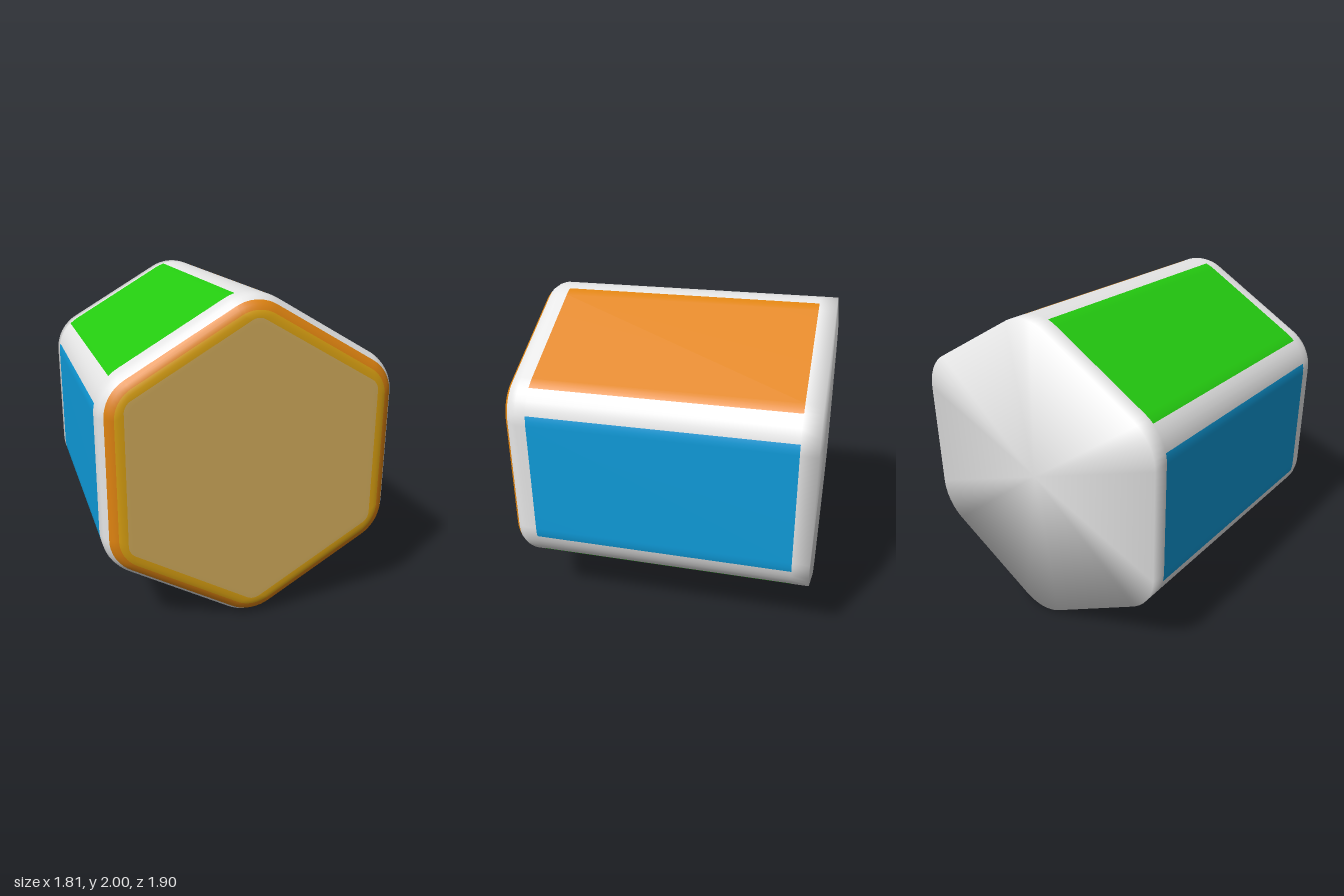
import * as THREE from 'three';

const DEG = Math.PI / 180;

// Normal angles across one side: half a corner, the flat, half a corner.
// The panel runs between the two 12.95 degree columns.
const START = [-30, -21.5, -12.95, -6.5, 0];
const END = [0, 6.5, 12.95, 21.5];
const PER_SIDE = START.length + END.length;
const PANEL_FIRST = 2, PANEL_LAST = 6;

// Rings from back to front: [apothem, corner radius, z, part in front of the ring]
const RINGS = [
  [0.905, 0.29, -0.95, 'body'],
  [0.905, 0.29, -0.845, 'panel'],
  [0.905, 0.29, 0.775, 'body'],
  [0.905, 0.29, 0.84, 'body'],
  [0.895, 0.275, 0.872, 'body'],
  [0.87, 0.24, 0.907, 'rim'],
  [0.848, 0.22, 0.928, 'rim'],
  [0.82, 0.2, 0.942, 'innerRim'],
  [0.795, 0.15, 0.948, 'innerRim'],
  [0.767, 0.08, 0.95, 'frontFace'],
  [0.735, 0.07, 0.95, 'frontFace'],
];

// Panels by side, counter-clockwise from +x
const PANELS = ['bluePanels', 'orangePanels', 'greenPanels', 'bluePanels', 'orangePanels', 'greenPanels'];

// Rounded hexagon outline: each point also carries its outward angle
function outline(apothem, radius) {
  const points = [];
  const reach = (apothem - radius) / Math.cos(30 * DEG);
  for (let side = 0; side < 6; side++) {
    const add = (phi, corner) => {
      const c = (side * 60 + corner) * DEG, n = (side * 60 + phi) * DEG;
      points.push([
        reach * Math.cos(c) + radius * Math.cos(n),
        reach * Math.sin(c) + radius * Math.sin(n),
        n,
      ]);
    };
    START.forEach((phi) => add(phi, -30));
    END.forEach((phi) => add(phi, 30));
  }
  return points;
}

export function createModel() {
  const material = (name, color) => {
    const m = new THREE.MeshStandardMaterial({ color });
    m.name = name;
    return m;
  };
  const white = material('white', 0xe6e6e6);
  const orange = material('orange', 0xe08410);
  const green = material('green', 0x24cc10);
  const blue = material('blue', 0x0f9cdb);
  const yellow = material('yellow', 0xdca212);
  const tan = material('tan', 0xd2ac5c);

  const parts = {
    body: white, bluePanels: blue, orangePanels: orange, greenPanels: green,
    rim: orange, innerRim: yellow, frontFace: tan,
  };
  const faces = {};
  for (const name in parts) faces[name] = [];

  // Shared vertices, so shading stays smooth across colour borders
  const positions = [];
  for (const [a, r, z] of RINGS) {
    for (const [x, y] of outline(a, r)) positions.push(x, y + 1, z);
  }
  const columns = PER_SIDE * 6;
  const backCentre = positions.length / 3;
  positions.push(0, 1, -0.95);
  const frontCentre = backCentre + 1;
  positions.push(0, 1, 0.95);

  // Skin between neighbouring rings
  for (let j = 0; j < RINGS.length - 1; j++) {
    for (let i = 0; i < columns; i++) {
      const k = (i + 1) % columns;
      let part = RINGS[j][3];
      if (part === 'panel') {
        const step = i % PER_SIDE;
        const painted = step >= PANEL_FIRST && step <= PANEL_LAST;
        part = painted ? PANELS[Math.floor(i / PER_SIDE)] : 'body';
      }
      const a = j * columns + i, b = j * columns + k;
      faces[part].push(a, b, b + columns, a, b + columns, a + columns);
    }
  }
  // Back and front ends
  const last = (RINGS.length - 1) * columns;
  for (let i = 0; i < columns; i++) {
    const k = (i + 1) % columns;
    faces.body.push(k, i, backCentre);
    faces.frontFace.push(last + i, last + k, frontCentre);
  }

  const whole = new THREE.BufferGeometry();
  whole.setAttribute('position', new THREE.Float32BufferAttribute(positions, 3));
  whole.setIndex(Object.values(faces).flat());
  whole.computeVertexNormals();
  // Soft shading over the back edge
  outline(RINGS[0][0], RINGS[0][1]).forEach(([, , n], i) => {
    whole.attributes.normal.setXYZ(i, Math.cos(n) * Math.SQRT1_2, Math.sin(n) * Math.SQRT1_2, -Math.SQRT1_2);
  });

  // One mesh for each coloured part
  const group = new THREE.Group();
  group.name = 'hexagonalBlock';
  for (const name in parts) {
    const geometry = new THREE.BufferGeometry();
    geometry.setAttribute('position', whole.attributes.position.clone());
    geometry.setAttribute('normal', whole.attributes.normal.clone());
    geometry.setIndex(faces[name]);
    const mesh = new THREE.Mesh(geometry, parts[name]);
    mesh.name = name;
    group.add(mesh);
  }
  return group;
}
